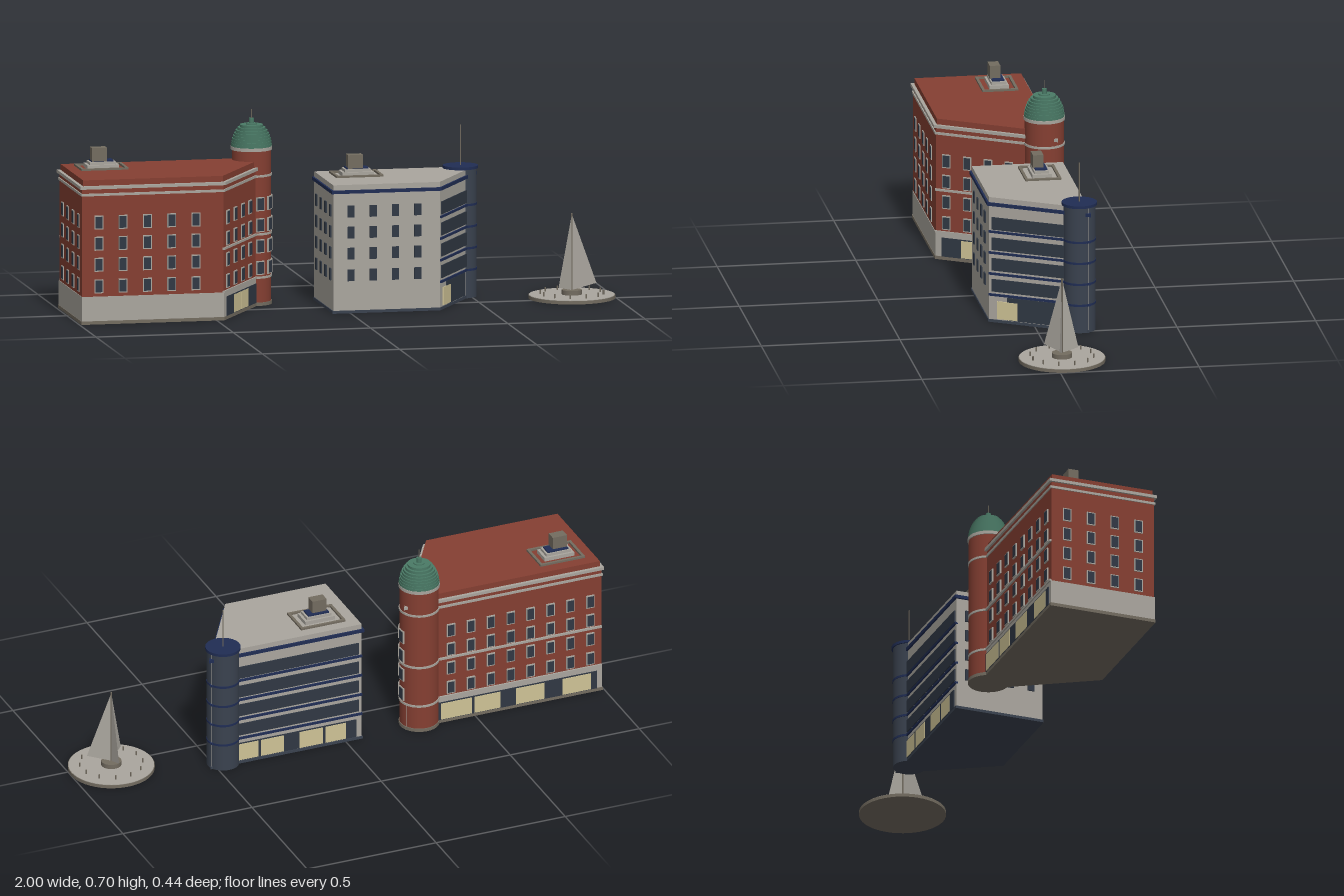
import * as THREE from 'three';

const mat = (name, color, side = THREE.FrontSide) => {
  const m = new THREE.MeshStandardMaterial({ color, side });
  m.name = name;
  return m;
};

export function createModel() {
  const root = new THREE.Group();
  const red = mat('brick red', 0x853f32), stone = mat('pale stone', 0xaaa69e, THREE.DoubleSide),
    taupe = mat('taupe metal', 0x736c60), glass = mat('dark glass', 0x303844),
    slate = mat('slate', 0x3a424f), navy = mat('navy trim', 0x202d54),
    cream = mat('lit shop glass', 0xcfc396), green = mat('copper green', 0x4a7a66);

  const add = (parent, name, geo, m, x = 0, y = 0, z = 0) => {
    const mesh = new THREE.Mesh(geo, m);
    mesh.name = name;
    mesh.position.set(x, y, z);
    parent.add(mesh);
    return mesh;
  };
  const group = (name, parent = root) => {
    const g = new THREE.Group();
    g.name = name;
    parent.add(g);
    return g;
  };
  const box = (p, name, m, w, y0, y1, d, x = 0, z = 0) =>
    add(p, name, new THREE.BoxGeometry(w, y1 - y0, d), m, x, (y0 + y1) / 2, z);
  const drum = (p, name, m, r, y0, y1, x = 0, z = 0, sides = 32) =>
    add(p, name, new THREE.CylinderGeometry(r, r, y1 - y0, sides), m, x, (y0 + y1) / 2, z);

  // Footprint grown outward by d, with mitred corners
  const grow = (pts, d) => pts.map((p, i) => {
    const a = pts[(i + pts.length - 1) % pts.length], b = pts[(i + 1) % pts.length];
    const normal = (s, e) => new THREE.Vector2(s[1] - e[1], e[0] - s[0]).normalize();
    const n1 = normal(a, p), n2 = normal(p, b), k = d / (1 + n1.dot(n2));
    return [p[0] + (n1.x + n2.x) * k, p[1] + (n1.y + n2.y) * k];
  });
  const prism = (p, name, m, pts, y0, y1, d = 0) => {
    const shape = new THREE.Shape(grow(pts, d).map(([x, z]) => new THREE.Vector2(x, -z)));
    const geo = new THREE.ExtrudeGeometry(shape, { depth: y1 - y0, bevelEnabled: false });
    return add(p, name, geo.rotateX(-Math.PI / 2), m, 0, y0, 0);
  };
  // Group lying on a wall: x runs along it, z points outward
  const wall = (p, name, a, b) => {
    const g = group(name, p);
    g.position.set(a[0], 0, a[1]);
    g.rotation.y = Math.atan2(a[1] - b[1], b[0] - a[0]);
    g.userData.length = Math.hypot(b[0] - a[0], b[1] - a[1]);
    return g;
  };
  const floors = [0.137, 0.215, 0.291, 0.367];
  const pane = (p, x, y, framed, z = 0) => {
    if (framed) box(p, 'windowFrame', stone, 0.032, y - 0.025, y + 0.025, 0.006, x, z);
    box(p, 'windowPane', glass, 0.025, y - 0.021, y + 0.021, 0.009, x, z);
  };
  const windows = (p, first, pitch, count, framed) => {
    for (let i = 0; i < count; i++) floors.forEach(y => pane(p, first + i * pitch, y, framed));
  };
  const strip = (p, name, m, x0, x1, y0, y1, d) =>
    box(p, name, m, x1 - x0, y0, y1, d, (x0 + x1) / 2);
  const shops = (p, x0, x1, lit) => {
    strip(p, 'shopFront', glass, x0, x1, 0.012, 0.082, 0.006);
    lit.forEach(([a, b]) => strip(p, 'litShopWindow', cream, a, b, 0.014, 0.078, 0.009));
  };
  // Rooftop plant: curb frame, stepped plinth and cabin
  const plant = (p, x, z, y, cabinX, cabinZ) => {
    const g = group('roofPlant', p);
    g.position.set(x, y, z);
    for (const s of [-1, 1]) {
      box(g, 'curb', taupe, 0.172, 0, 0.007, 0.01, 0, s * 0.06);
      box(g, 'curb', taupe, 0.01, 0, 0.007, 0.13, s * 0.081, 0);
    }
    box(g, 'lowerStep', stone, 0.115, 0, 0.014, 0.07);
    box(g, 'upperStep', stone, 0.095, 0.014, 0.024, 0.054);
    box(g, 'ventBase', navy, 0.08, 0.024, 0.029, 0.044);
    box(g, 'cabin', taupe, 0.055, 0.026, 0.075, 0.038, cabinX, cabinZ);
  };

  // ---- Red brick building ----
  const A = group('brickBuilding');
  const fa = [[-0.99, 0.215], [-0.475, 0.215], [-0.237, -0.178], [-0.99, -0.178]];
  prism(A, 'plinth', taupe, fa, 0, 0.012, 0.004);
  prism(A, 'stoneBase', stone, fa, 0.012, 0.1, 0.002);
  prism(A, 'brickWalls', red, fa, 0.1, 0.49);
  prism(A, 'upperBand', stone, fa, 0.463, 0.472, 0.004);
  prism(A, 'cornice', stone, fa, 0.488, 0.499, 0.008);
  prism(A, 'parapetRoof', red, fa, 0.499, 0.52, -0.004);
  const wa = ['frontWall', 'slantedWall', 'backWall', 'leftEndWall'].map((n, i) => wall(A, n, fa[i], fa[(i + 1) % 4]));
  windows(wa[0], 0.06, 0.0885, 5, true);
  windows(wa[1], 0.043, 0.08, 4, true);
  windows(wa[2], 0.17, 0.077, 8, true);
  windows(wa[3], 0.06, 0.091, 4, true);
  for (const w of [wa[1], wa[2]]) for (const y of [0.098, 0.254])
    strip(w, 'stringCourse', stone, 0, w.userData.length, y, y + 0.008, 0.009);
  wa[1].position.z += 0.002;
  wa[2].position.z -= 0.002;
  shops(wa[1], 0.025, 0.36, [[0.1, 0.175], [0.18, 0.255]]);
  shops(wa[2], 0.1, 0.735, [[0.13, 0.25], [0.26, 0.36], [0.42, 0.53], [0.6, 0.71]]);
  plant(A, -0.861, -0.066, 0.52, -0.012, 0.008);

  // Round corner tower with stepped dome
  const TA = group('domedTower', A);
  TA.position.set(-0.297, 0, -0.148);
  drum(TA, 'towerFoot', taupe, 0.073, 0, 0.012);
  drum(TA, 'towerShaft', red, 0.07, 0.012, 0.556);
  for (const y of [0.098, 0.254, 0.463]) drum(TA, 'towerBand', stone, 0.073, y, y + 0.008);
  drum(TA, 'towerCornice', stone, 0.074, 0.556, 0.568);
  for (const deg of [15, 55, 95]) {
    const g = group('towerWindows', TA);
    g.rotation.y = THREE.MathUtils.degToRad(deg);
    floors.forEach(y => pane(g, 0, y, true, 0.07));
  }
  [0.0725, 0.071, 0.069, 0.066, 0.062, 0.057, 0.05, 0.041].forEach((r, i) =>
    drum(TA, 'domeStep', green, r, 0.568 + i * 0.0097, 0.568 + (i + 1) * 0.0097));
  drum(TA, 'domeCrown', green, 0.02, 0.645, 0.65);
  drum(TA, 'lantern', green, 0.009, 0.65, 0.668, 0, 0, 12);
  drum(TA, 'spire', taupe, 0.0015, 0.668, 0.7, 0, 0, 6);

  // ---- Pale building ----
  const B = group('paleBuilding');
  const fb = [[-0.062, 0.151], [0.326, 0.151], [0.52, -0.178], [-0.062, -0.178]];
  prism(B, 'plinth', slate, fb, 0, 0.01, 0.003);
  prism(B, 'paleWalls', stone, fb, 0.01, 0.463);
  prism(B, 'navyCornice', navy, fb, 0.432, 0.444, 0.007);
  const wb = ['frontWall', 'slantedWall', 'backWall', 'leftEndWall'].map((n, i) => wall(B, n, fb[i], fb[(i + 1) % 4]));
  windows(wb[0], 0.064, 0.081, 4, false);
  windows(wb[3], 0.045, 0.08, 4, false);
  for (const w of [wb[1], wb[2]]) {
    const L = w.userData.length;
    floors.forEach(y => strip(w, 'ribbonWindow', glass, 0.012, L - 0.012, y - 0.023, y + 0.023, 0.008));
    for (const y of [0.098, 0.176, 0.254, 0.332])
      strip(w, 'navyBand', navy, 0, L, y, y + 0.008, 0.012);
  }
  strip(wb[1], 'shopFront', glass, 0.07, 0.275, 0.012, 0.096, 0.006);
  strip(wb[1], 'litShopWindow', cream, 0.032, 0.11, 0.014, 0.079, 0.009);
  shops(wb[2], 0.06, 0.56, [[0.09, 0.18], [0.19, 0.28], [0.34, 0.43], [0.44, 0.52]]);
  plant(B, 0.069, -0.073, 0.463, -0.008, 0.008);

  // Slate stair tower with mast
  const TB = group('mastTower', B);
  TB.position.set(0.465, 0, -0.153);
  drum(TB, 'towerShaft', slate, 0.058, 0, 0.464);
  for (const y of [0.098, 0.176, 0.254, 0.332]) drum(TB, 'towerBand', navy, 0.0595, y, y + 0.008);
  drum(TB, 'towerCap', navy, 0.063, 0.463, 0.473);
  drum(TB, 'mast', taupe, 0.002, 0.473, 0.618, 0, 0, 8);

  // ---- Plaza with sail sculpture ----
  const P = group('plaza');
  P.position.set(0.845, 0, -0.03);
  drum(P, 'plazaRim', taupe, 0.155, 0, 0.012, 0, 0, 48);
  drum(P, 'plazaPaving', stone, 0.153, 0.01, 0.0135, 0, 0, 48);
  drum(P, 'pedestal', taupe, 0.036, 0.013, 0.03);
  drum(P, 'sculptureMast', taupe, 0.003, 0.03, 0.305, 0, 0, 8);
  for (const [x, y, z] of [[-0.06, 0.047, 0.055], [0.085, 0.055, 0.022], [-0.005, 0.045, -0.06]]) {
    const geo = new THREE.BufferGeometry();
    geo.setAttribute('position', new THREE.Float32BufferAttribute([0, 0.028, 0, x, y, z, 0, 0.302, 0], 3));
    geo.computeVertexNormals();
    add(P, 'sail', geo, stone);
  }
  for (let i = 0; i < 12; i++) {
    const a = (i + 0.5) * Math.PI / 6;
    drum(P, 'bollard', taupe, 0.0028, 0.013, 0.029, Math.cos(a) * 0.113, Math.sin(a) * 0.113, 8);
  }
  return root;
}
